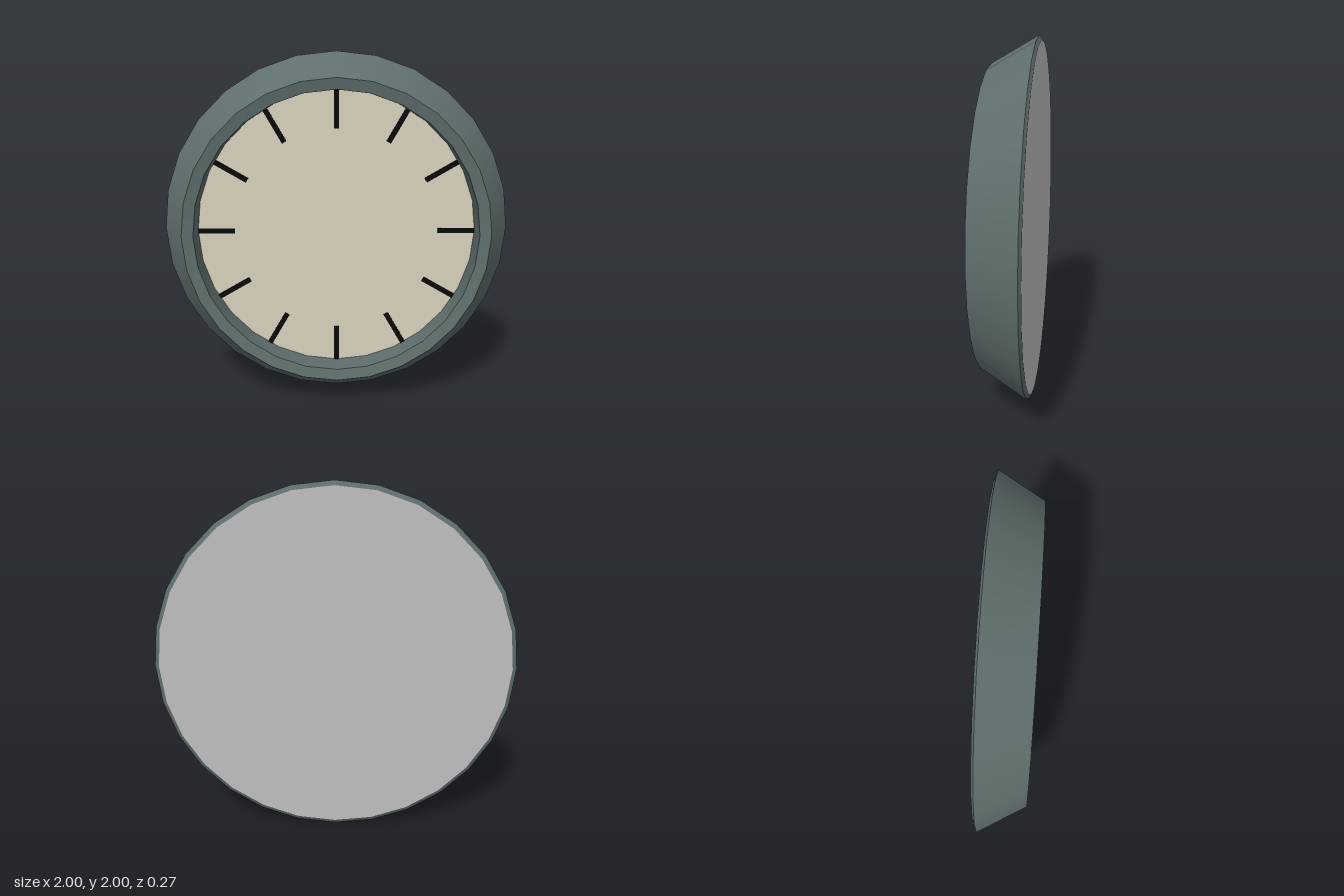
import * as THREE from 'three';

const SIDES = 28;
const material = (name, color) => {
  const m = new THREE.MeshStandardMaterial({ color });
  m.name = name;
  return m;
};

export function createModel() {
  const frameGreen = material('frame grey green', 0x5f6f6d);
  const dialCream = material('dial cream', 0xd8d3bd);
  const markBlack = material('mark black', 0x0a0a0a);
  const backGrey = material('back grey', 0xc0c0c0);

  const clock = new THREE.Group();
  clock.name = 'wallClock';
  const add = (parent, name, geometry, mat) => {
    const mesh = new THREE.Mesh(geometry, mat);
    mesh.name = name;
    parent.add(mesh);
    return mesh;
  };

  // Frame: one smooth band per profile segment [radius, z], sharp between bands
  const profile = [[0.975, -0.133], [1, -0.12], [0.855, 0.133], [0.793, 0.12], [0.793, -0.03]];
  const bands = ['backBevel', 'slopedSide', 'frontRim', 'innerWall'];
  const frame = new THREE.Group();
  frame.name = 'frame';
  bands.forEach((name, i) => {
    const points = [profile[i], profile[i + 1]].map(([r, z]) => new THREE.Vector2(r, z));
    add(frame, name, new THREE.LatheGeometry(points, SIDES).rotateX(Math.PI / 2), frameGreen);
  });
  clock.add(frame);

  // Recessed dial and closed back
  add(clock, 'dial', new THREE.CircleGeometry(0.793, SIDES), dialCream).position.z = -0.028;
  add(clock, 'backPlate', new THREE.CircleGeometry(0.975, SIDES).rotateY(Math.PI), backGrey).position.z = -0.133;

  // Twelve hour marks
  const marks = new THREE.Group();
  marks.name = 'hourMarks';
  const markGeometry = new THREE.BoxGeometry(0.028, 0.208, 0.008).translate(0, 0.686, -0.024);
  for (let i = 0; i < 12; i++) {
    add(marks, 'hourMark', markGeometry, markBlack).rotation.z = (i * Math.PI) / 6;
  }
  clock.add(marks);

  clock.position.y = 1;
  const model = new THREE.Group();
  model.name = 'clock';
  model.add(clock);
  return model;
}
